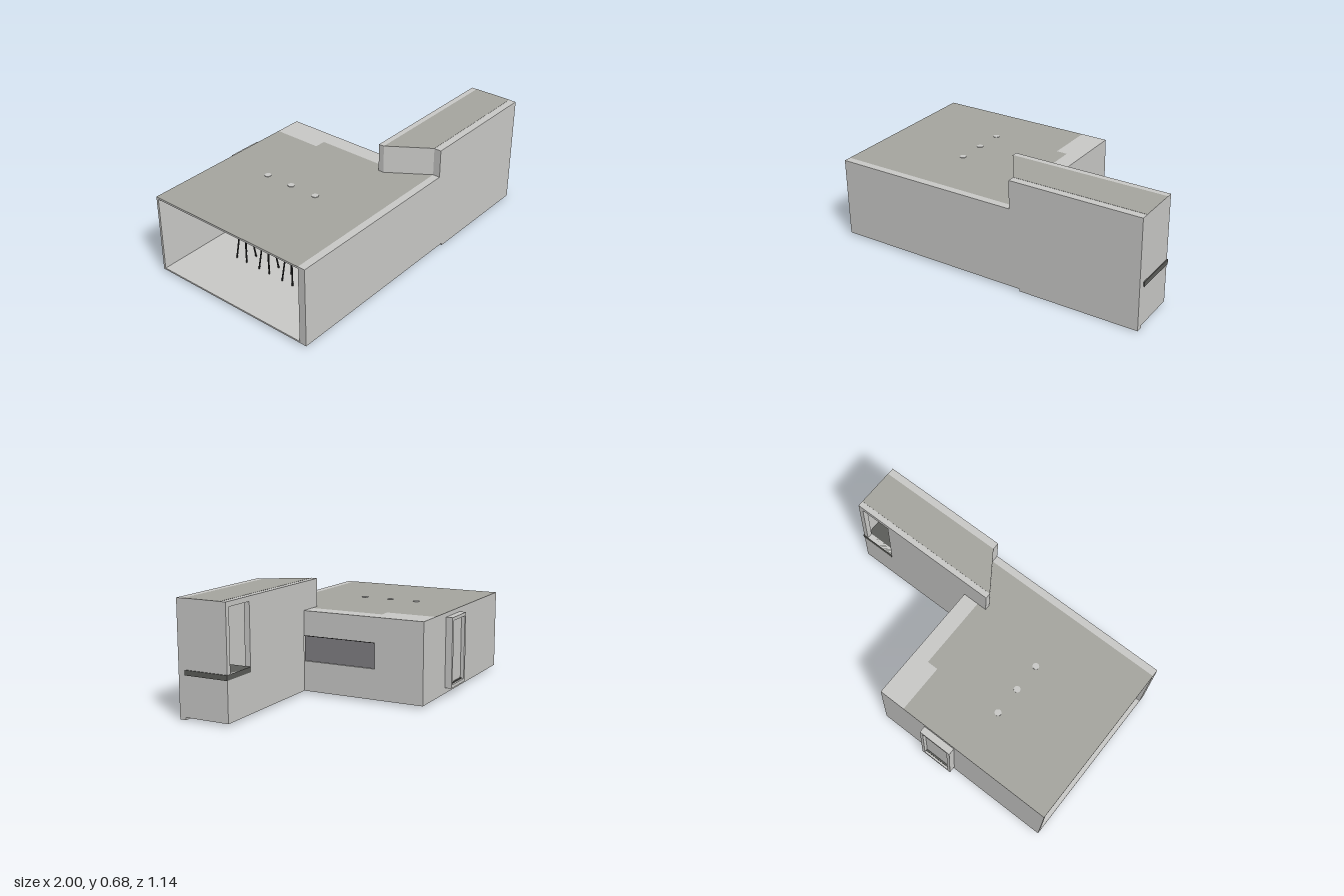
import * as THREE from 'three';

const mat = (name, color) => {
  const m = new THREE.MeshStandardMaterial({ color });
  m.name = name;
  return m;
};

export function createModel() {
  const model = new THREE.Group();
  model.name = 'house';
  const wall = mat('plaster', 0xcacac8);
  const roof = mat('roofGrey', 0xa6a6a0);
  const dark = mat('darkStair', 0x5c5d59);
  const glass = mat('windowGlass', 0x807f83);
  const black = mat('blackFurniture', 0x2c2c2c);

  const add = (name, geometry, material, parent = model) => {
    const mesh = new THREE.Mesh(geometry, material);
    mesh.name = name;
    parent.add(mesh);
    return mesh;
  };
  // Box given by its limits on each axis
  const box = (name, m, x0, x1, y0, y1, z0, z1, parent) => {
    const g = new THREE.BoxGeometry(x1 - x0, y1 - y0, z1 - z0);
    g.translate((x0 + x1) / 2, (y0 + y1) / 2, (z0 + z1) / 2);
    return add(name, g, m, parent);
  };
  const path = (pts) => pts.map(([a, b]) => new THREE.Vector2(a, b));
  // Horizontal slab from an outline in x and z
  const slab = (name, m, pts, y, h) => {
    const shape = new THREE.Shape(path(pts.map(([x, z]) => [x, -z])));
    const g = new THREE.ExtrudeGeometry(shape, { depth: h, bevelEnabled: false });
    g.rotateX(-Math.PI / 2).translate(0, y, 0);
    return add(name, g, m);
  };
  // Upright panel from an outline in x and y, with one hole
  const panel = (name, m, pts, hole, z0, z1) => {
    const shape = new THREE.Shape(path(pts));
    shape.holes.push(new THREE.Path(path(hole)));
    const g = new THREE.ExtrudeGeometry(shape, { depth: z1 - z0, bevelEnabled: false });
    return add(name, g.translate(0, 0, z0), m);
  };
  const rect = (x0, x1, y0, y1) => [[x0, y0], [x1, y0], [x1, y1], [x0, y1]];

  // Floor of the main room, reaching the foot of the stairs
  slab('floor', wall, [[-1, -0.53], [0.18, -0.53], [0.18, 0.25], [0.245, 0.25],
    [0.245, 0.53], [-1, 0.53]], 0.015, 0.01);

  // Front wall: low over the room, tall over the stairwell
  box('frontWallLow', wall, -1, 0.18, 0.015, 0.507, 0.525, 0.57);
  box('frontWallTall', wall, 0.18, 0.99, 0.015, 0.68, 0.525, 0.57);
  box('frontWallFoot', wall, 0.245, 0.99, 0, 0.015, 0.53, 0.57);

  // Back wall and the thick side wall with its window
  box('backWall', wall, -1, 0.18, 0.015, 0.505, -0.53, -0.515);
  box('sideWallThick', wall, 0.01, 0.18, 0.015, 0.507, -0.53, -0.22);
  box('sideWallBelowWindow', wall, 0.08, 0.18, 0.015, 0.2, -0.22, 0.25);
  box('sideWallAboveWindow', wall, 0.08, 0.18, 0.355, 0.507, -0.22, 0.25);
  box('windowPane', glass, 0.162, 0.17, 0.2, 0.355, -0.22, 0.25);
  box('windowTopTrim', black, 0.17, 0.181, 0.353, 0.357, -0.22, 0.25);

  // Main roof: pale ceiling under a darker cover
  const mainRoof = [[-1, -0.53], [0.01, -0.53], [0.01, -0.22], [0.08, -0.22],
    [0.08, 0.25], [0.02, 0.25], [0.02, 0.285], [0.18, 0.525], [-1, 0.525]];
  slab('ceiling', wall, mainRoof, 0.495, 0.01);
  slab('roofCover', roof, mainRoof, 0.505, 0.002);

  // Stairwell: rear wall with doorway, end wall, slanted wall and roof
  panel('stairwellRearWall', wall,
    [[0.18, 0.015], [0.99, 0.015], [0.99, 0.68], [0.02, 0.68], [0.02, 0.505], [0.18, 0.505]],
    rect(0.765, 0.96, 0.285, 0.65), 0.25, 0.285);
  box('stairwellEndWall', wall, 0.98, 0.99, 0.015, 0.68, 0.25, 0.57);
  slab('slantedWall', wall, [[0.02, 0.285], [0.18, 0.525], [0.192, 0.525], [0.032, 0.285]],
    0.5, 0.18);
  const stairRoof = [[0.02, 0.285], [0.18, 0.525], [0.99, 0.525], [0.99, 0.285]];
  slab('stairwellCeiling', wall, stairRoof, 0.67, 0.01);
  slab('stairwellRoofCover', roof, stairRoof, 0.68, 0.001);

  // Stairs rising to the landing
  const stairs = new THREE.Group();
  stairs.name = 'stairs';
  model.add(stairs);
  const steps = 8, run = (0.765 - 0.245) / steps, rise = 0.26 / (steps + 1);
  for (let i = 0; i < steps; i++) {
    const x = 0.245 + i * run, y = 0.025 + (i + 1) * rise;
    box('step', dark, x, x + run, y - rise, y, 0.285, 0.525, stairs);
  }
  box('landing', dark, 0.765, 0.996, 0.255, 0.285, 0.248, 0.526, stairs);

  // Framed back door
  panel('doorFrame', wall, rect(-0.36, -0.145, 0.05, 0.48),
    rect(-0.34, -0.165, 0.07, 0.46), -0.572, -0.53);
  box('doorPanel', wall, -0.34, -0.165, 0.07, 0.46, -0.55, -0.53);
  box('doorSill', dark, -0.34, -0.165, 0.07, 0.076, -0.56, -0.55);

  // Ceiling lights and the stools beside the counter below them
  const stool = (x, z) => {
    const g = new THREE.Group();
    g.name = 'stool';
    g.position.set(x, 0.025, z);
    model.add(g);
    box('seat', black, -0.035, 0.035, 0.145, 0.158, -0.035, 0.035, g);
    for (const sx of [-1, 1]) for (const sz of [-1, 1]) {
      const foot = new THREE.Vector3(sx * 0.04, 0, sz * 0.04);
      const top = new THREE.Vector3(sx * 0.025, 0.148, sz * 0.025);
      const leg = new THREE.TubeGeometry(new THREE.LineCurve3(foot, top), 1, 0.005, 6);
      add('stoolLeg', leg, black, g);
    }
  };
  for (const z of [-0.21, -0.03, 0.15]) {
    const lamp = add('ceilingLight', new THREE.CylinderGeometry(0.02, 0.02, 0.03, 20), wall);
    lamp.position.set(-0.43, 0.495, z);
    stool(-0.62, z - 0.02);
  }
  box('counter', wall, -0.49, -0.38, 0.025, 0.2, -0.27, 0.17);

  return model;
}
